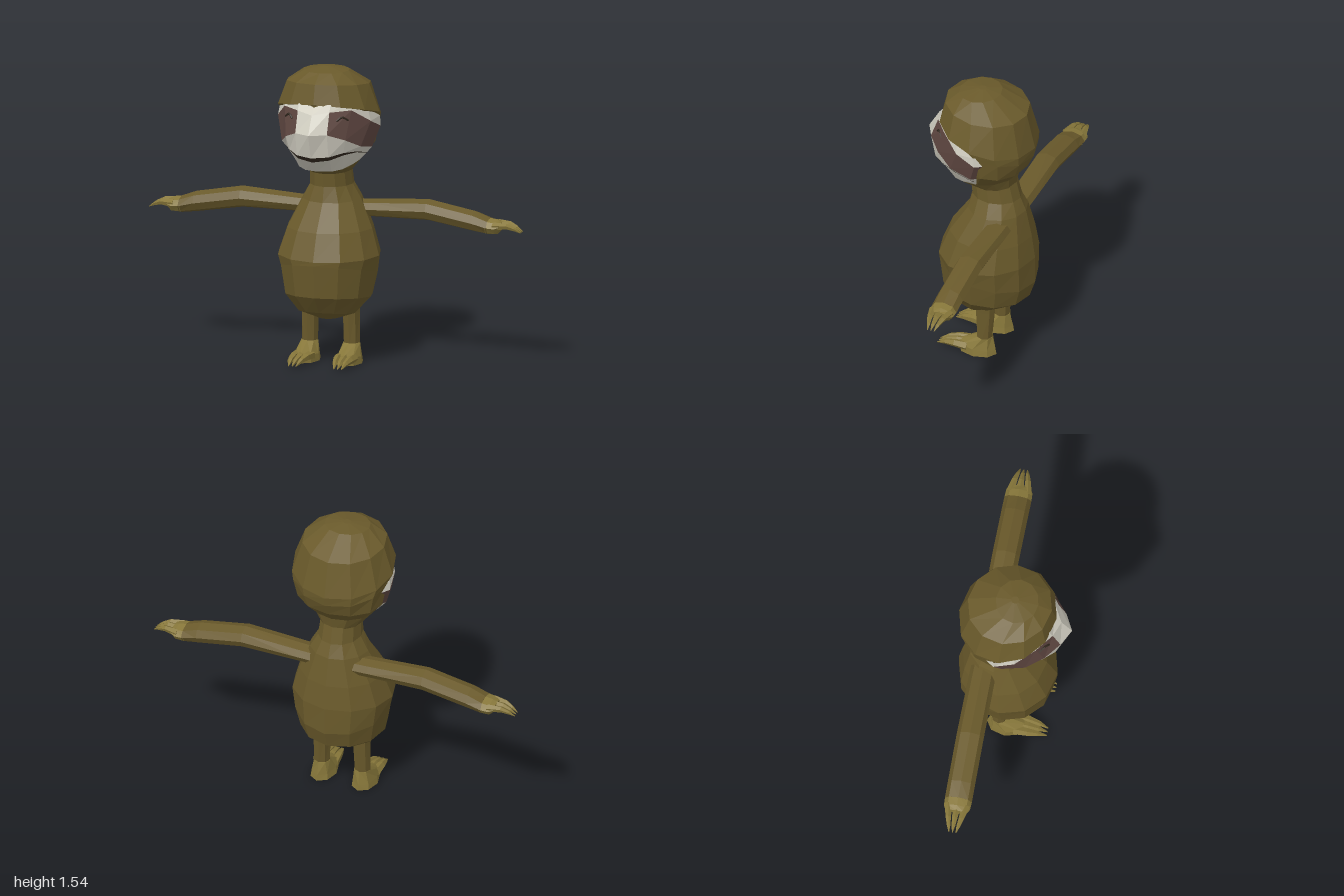
import * as THREE from 'three';

const mat = (color) => new THREE.MeshStandardMaterial({ color, flatShading: true, side: THREE.DoubleSide });
const FUR = mat(0x6a5a2b), CLAW = mat(0x87773a), CREAM = mat(0xd2cfc2), PATCH = mat(0x604842), DARK = mat(0x33291f);

// Skin a list of rings (arrays of [x, y, z]) and close both ends.
function loft(rings) {
  const n = rings[0].length, pos = rings.flat(2), idx = [];
  for (let r = 0; r < rings.length - 1; r++) {
    for (let i = 0; i < n; i++) {
      const a = r * n + i, b = r * n + (i + 1) % n;
      idx.push(a, b, b + n, a, b + n, a + n);
    }
  }
  const last = (rings.length - 1) * n;
  for (let i = 1; i < n - 1; i++) idx.push(0, i + 1, i, last, last + i, last + i + 1);
  return geometry(pos, idx);
}

function geometry(pos, idx) {
  const g = new THREE.BufferGeometry();
  g.setAttribute('position', new THREE.Float32BufferAttribute(pos, 3));
  g.setIndex(idx);
  g.computeVertexNormals();
  return g;
}

const around = (n, f) => Array.from({ length: n }, (_, i) => f(Math.cos(i / n * 2 * Math.PI), Math.sin(i / n * 2 * Math.PI)));

// Upright ring: heights at front and back, front z, back z, half width, centre x.
const flatRing = (n, [yF, yB, zF, zB, w, cx = 0]) => around(n, (c, s) => [
  cx + w * s,
  (yF + yB) / 2 + c * (yF - yB) / 2,
  (zF + zB) / 2 + c * (zF - zB) / 2,
]);

// Ring across the arm: x, centre y, half height, half depth.
const armRing = ([x, y, h, d]) => around(8, (c, s) => [x, y + h * c, -0.14 + d * s]);

// Curved pointed claw along x or z: stations of [distance, side, height, radius].
const claw = (axis, stations) => loft(stations.map(([t, side, y, r]) => around(5, (c, s) =>
  axis === 'x' ? [t, y + r * c, side + r * s] : [side + r * c, y + r * s, t])));

function mirrored(g) {
  const m = g.clone().scale(-1, 1, 1), idx = m.getIndex();
  for (let i = 0; i < idx.count; i += 3) {
    const b = idx.getX(i + 1);
    idx.setX(i + 1, idx.getX(i + 2));
    idx.setX(i + 2, b);
  }
  m.computeVertexNormals();
  return m;
}

export function createModel() {
  const model = new THREE.Group();
  model.name = 'sloth';
  const add = (name, g, m) => {
    const mesh = new THREE.Mesh(g, m);
    mesh.name = name;
    model.add(mesh);
  };
  const addPair = (name, g, m) => {
    add('left' + name, g, m);
    add('right' + name, mirrored(g), m);
  };

  // Pear-shaped body and neck
  add('body', loft([
    [0.23, 0.235, 0.03, -0.08, 0.06],
    [0.28, 0.25, 0.13, -0.13, 0.15],
    [0.37, 0.33, 0.2, -0.26, 0.225],
    [0.54, 0.42, 0.22, -0.29, 0.25],
    [0.56, 0.57, 0.22, -0.29, 0.268],
    [0.7, 0.7, 0.165, -0.272, 0.225],
    [0.84, 0.85, 0.07, -0.24, 0.155],
    [0.92, 0.92, 0.05, -0.21, 0.112],
    [1.02, 1.02, 0.06, -0.185, 0.105],
  ].map((r) => flatRing(12, r))), FUR);

  // Head fur, with the brow overhanging the face
  add('head', loft([
    [0.99, 1.0, 0.06, -0.185, 0.11],
    [1.02, 1.07, 0.13, -0.2, 0.155],
    [1.17, 1.13, 0.08, -0.25, 0.232],
    [1.36, 1.2, 0.14, -0.283, 0.257],
    [1.378, 1.25, 0.215, -0.29, 0.27],
    [1.48, 1.44, 0.19, -0.245, 0.218],
    [1.525, 1.53, 0.12, -0.1, 0.12],
    [1.545, 1.545, 0.02, -0.02, 0.02],
  ].map((r) => flatRing(12, r))), FUR);

  // Half rows of the face from the middle outwards, brow to chin
  const half = [
    [[0, 1.365, 0.205], [0.085, 1.395, 0.185], [0.17, 1.385, 0.135], [0.235, 1.345, 0.045], [0.265, 1.29, -0.06]],
    [[0, 1.33, 0.24], [0.085, 1.345, 0.21], [0.18, 1.35, 0.14], [0.25, 1.28, 0.04], [0.266, 1.235, -0.065]],
    [[0, 1.235, 0.295], [0.085, 1.235, 0.25], [0.16, 1.2, 0.18], [0.212, 1.155, 0.09], [0.232, 1.13, -0.03]],
    [[0, 1.11, 0.255], [0.085, 1.115, 0.225], [0.145, 1.13, 0.165], [0.188, 1.125, 0.08], [0.205, 1.1, -0.03]],
    [[0, 1.085, 0.235], [0.085, 1.095, 0.205], [0.14, 1.115, 0.15], [0.186, 1.12, 0.078], [0.204, 1.098, -0.03]],
    [[0, 1.02, 0.15], [0.07, 1.022, 0.135], [0.115, 1.03, 0.1], [0.148, 1.045, 0.045], [0.168, 1.06, -0.03]],
    [[0, 1.0, 0.06], [0.04, 1.0, 0.05], [0.07, 1.0, 0.04], [0.09, 1.01, 0.0], [0.1, 1.02, -0.05]],
  ];
  const rows = half.map((h) => {
    const [ex, ey, ez] = h[4];
    const out = [...h, [ex - 0.04, ey, ez - 0.06]]; // tuck the rim into the fur
    return [...out.slice(1).reverse().map(([x, y, z]) => [-x, y, z]), ...out];
  });
  const facePart = (name, row, c0, c1, m) => {
    const w = c1 - c0 + 1, idx = [];
    const pos = [rows[row], rows[row + 1]].map((r) => r.slice(c0, c1 + 1)).flat(2);
    for (let i = 0; i < w - 1; i++) idx.push(w + i, w + i + 1, i + 1, w + i, i + 1, i);
    add(name, geometry(pos, idx), m);
  };
  facePart('forehead', 0, 0, 10, CREAM);
  facePart('rightEyePatch', 1, 0, 4, PATCH);
  facePart('noseBridge', 1, 4, 6, CREAM);
  facePart('leftEyePatch', 1, 6, 10, PATCH);
  facePart('muzzle', 2, 0, 10, CREAM);
  facePart('mouth', 3, 0, 10, DARK);
  facePart('jaw', 4, 0, 10, CREAM);
  facePart('underChin', 5, 0, 10, FUR);

  // Closed, smiling eyes
  const lid = new THREE.CatmullRomCurve3([[0.118, 1.3, 0.199], [0.143, 1.318, 0.178], [0.168, 1.3, 0.155]]
    .map((p) => new THREE.Vector3(...p)));
  addPair('Eye', new THREE.TubeGeometry(lid, 6, 0.006, 5), DARK);

  // Arms held out sideways, with hands and long claws
  addPair('Arm', loft([
    [0.08, 0.785, 0.045, 0.065], [0.2, 0.79, 0.046, 0.068], [0.5, 0.8, 0.055, 0.07],
    [0.75, 0.757, 0.053, 0.07], [0.83, 0.737, 0.043, 0.07],
  ].map(armRing)), FUR);
  addPair('Hand', loft([
    [0.82, 0.738, 0.043, 0.07], [0.87, 0.735, 0.038, 0.068], [0.895, 0.742, 0.02, 0.055],
  ].map(armRing)), CLAW);
  for (const k of [-1, 0, 1]) {
    addPair('HandClaw', claw('x', [
      [0.86, -0.14 + k * 0.045, 0.745, 0.022], [0.93, -0.14 + k * 0.034, 0.747, 0.015],
      [0.97, -0.14 + k * 0.025, 0.733, 0.01], [1.0, -0.14 + k * 0.018, 0.715, 0.002],
    ]), CLAW);
  }

  // Legs, feet and toe claws
  addPair('Leg', loft([
    [0.09, 0.09, -0.02, -0.1, 0.043, 0.113], [0.26, 0.26, -0.008, -0.115, 0.046, 0.11],
    [0.36, 0.36, 0.0, -0.12, 0.05, 0.11],
  ].map((r) => flatRing(8, r))), FUR);
  addPair('Foot', loft([
    [0, 0, 0.08, -0.125, 0.066, 0.114], [0.045, 0.03, 0.085, -0.12, 0.062, 0.114],
    [0.1, 0.1, -0.018, -0.103, 0.045, 0.113],
  ].map((r) => flatRing(8, r))), CLAW);
  for (const k of [-1, 0, 1]) {
    addPair('ToeClaw', claw('z', [
      [0.02, 0.114 + k * 0.036, 0.034, 0.026], [0.09, 0.118 + k * 0.034, 0.036, 0.021],
      [0.145, 0.12 + k * 0.028, 0.028, 0.014], [0.19, 0.122 + k * 0.02, 0.008, 0.003],
    ]), CLAW);
  }
  return model;
}
